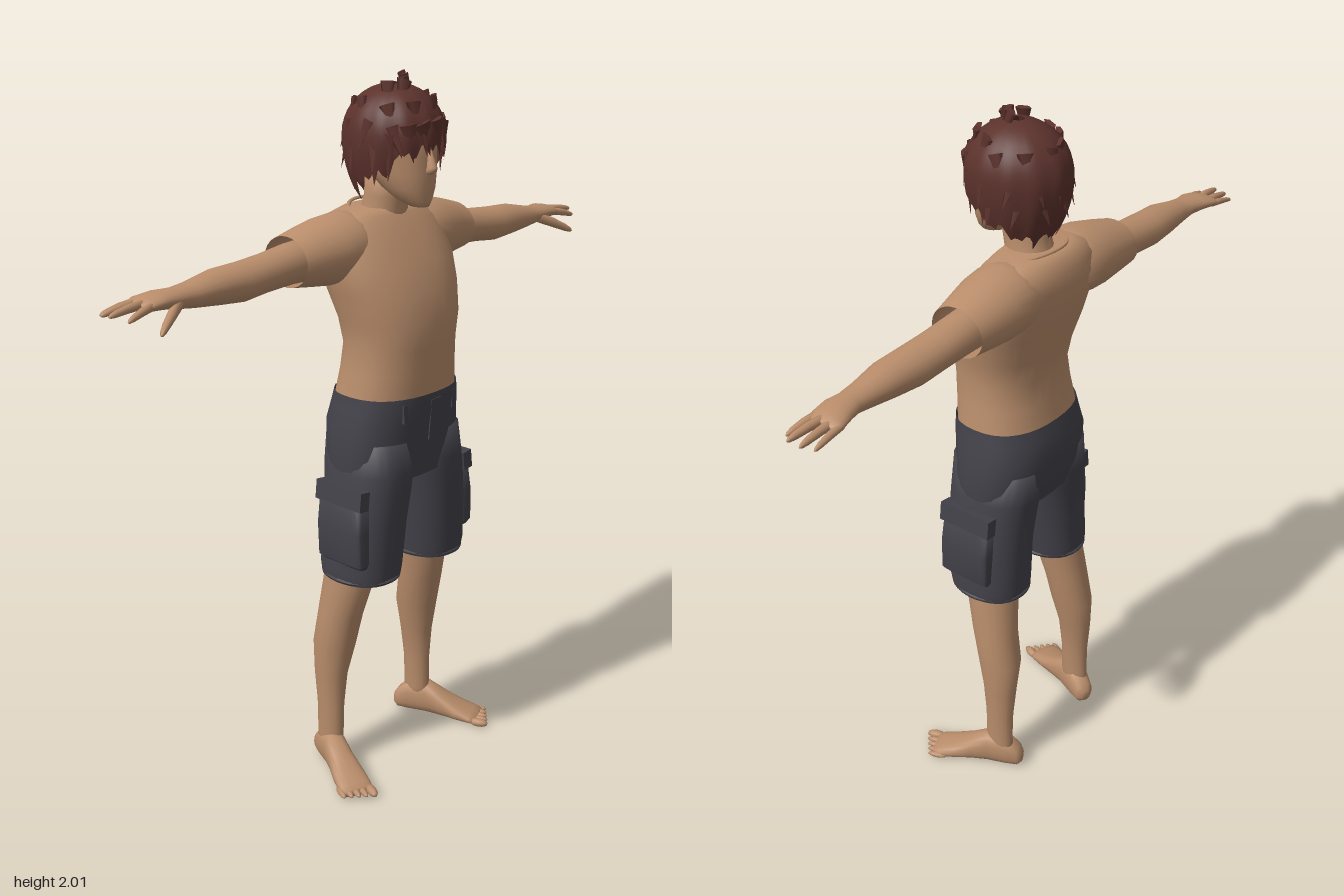
import * as THREE from 'three';

const paint = (name, color) => {
  const m = new THREE.MeshStandardMaterial({ color, side: THREE.DoubleSide });
  m.name = name;
  return m;
};

// Indexed smooth surface over closed rings; optional end caps
function skinRings(rings, capStart, capEnd) {
  const n = rings[0].length, pos = [], idx = [];
  rings.forEach(r => r.forEach(p => pos.push(p[0], p[1], p[2])));
  for (let j = 0; j < rings.length - 1; j++) for (let i = 0; i < n; i++) {
    const a = j * n + i, b = j * n + (i + 1) % n;
    idx.push(a, a + n, b, b, a + n, b + n);
  }
  const cap = (row, flip) => {
    const c = [0, 1, 2].map(k => rings[row].reduce((s, p) => s + p[k], 0) / n);
    const ci = pos.length / 3;
    pos.push(...c);
    for (let i = 0; i < n; i++) {
      const a = row * n + i, b = row * n + (i + 1) % n;
      flip ? idx.push(ci, a, b) : idx.push(ci, b, a);
    }
  };
  if (capStart) cap(0, true);
  if (capEnd) cap(rings.length - 1, false);
  const g = new THREE.BufferGeometry();
  g.setAttribute('position', new THREE.Float32BufferAttribute(pos, 3));
  g.setIndex(idx);
  g.computeVertexNormals();
  return g;
}

// Sections along an axis (0 x, 1 y, 2 z): [t, centreU, centreV, radiusU, radiusV]
// (u, v) is (z, y) for axis x, (x, z) for axis y and (y, x) for axis z
function loft(axis, sections, { n = 20, power = 2, capStart = true, capEnd = true } = {}) {
  const u = (axis + 2) % 3, v = (axis + 1) % 3;
  const round = c => Math.sign(c) * Math.abs(c) ** (2 / power);
  const rings = sections.map(([t, cu, cv, ru, rv]) => Array.from({ length: n }, (_, i) => {
    const a = i / n * Math.PI * 2, p = [0, 0, 0];
    p[axis] = t;
    p[u] = cu + ru * round(Math.cos(a));
    p[v] = cv + rv * round(Math.sin(a));
    return p;
  }));
  return skinRings(rings, capStart, capEnd);
}

function mirrored(geo) {
  const g = geo.clone().applyMatrix4(new THREE.Matrix4().makeScale(-1, 1, 1));
  const ix = g.index.array;
  for (let i = 0; i < ix.length; i += 3) [ix[i], ix[i + 1]] = [ix[i + 1], ix[i]];
  g.computeVertexNormals();
  return g;
}

export function createModel() {
  const model = new THREE.Group();
  const skin = paint('skin', 0xb98d6b), shirt = paint('shirt', 0xba8e6c);
  const cloth = paint('shorts cloth', 0x43424a), hairMat = paint('hair', 0x5c322c);
  const add = (name, geo, mat) => {
    const m = new THREE.Mesh(geo, mat);
    m.name = name;
    model.add(m);
  };
  const pair = (name, geo, mat) => {
    add(name + 'Left', geo, mat);
    add(name + 'Right', mirrored(geo), mat);
  };
  const box = (w, h, d, x, y, z, rx = 0, rz = 0) =>
    new THREE.BoxGeometry(w, h, d).rotateX(rx).rotateZ(rz).translate(x, y, z);

  // Head, neck, nose and ears
  add('head', loft(1, [
    [1.672, 0, 0.088, 0.022, 0.028], [1.688, 0, 0.07, 0.044, 0.05], [1.72, 0, 0.048, 0.068, 0.076],
    [1.76, 0, 0.025, 0.083, 0.1], [1.8, 0, 0.008, 0.09, 0.116], [1.86, 0, 0, 0.1, 0.124],
    [1.92, 0, 0, 0.09, 0.105], [1.955, 0, 0, 0.05, 0.06],
  ], { n: 24 }), skin);
  add('neck', loft(1, [
    [1.58, 0, -0.055, 0.075, 0.075], [1.645, 0, -0.04, 0.063, 0.066],
    [1.69, 0, -0.028, 0.058, 0.064], [1.76, 0, -0.02, 0.06, 0.066],
  ]), skin);
  add('nose', loft(1, [
    [1.757, 0, 0.118, 0.012, 0.01], [1.768, 0, 0.122, 0.015, 0.023],
    [1.777, 0, 0.122, 0.012, 0.025], [1.82, 0, 0.118, 0.007, 0.01],
  ], { n: 10 }), skin);
  pair('ear', new THREE.SphereGeometry(1, 12, 8).scale(0.012, 0.033, 0.02)
    .rotateZ(-0.15).translate(0.094, 1.785, -0.005), skin);

  // Hair shell: dome with a jagged lower edge, short in front and long behind
  const segs = 72, rows = 14;
  const shell = [];
  for (let j = 0; j <= rows; j++) {
    shell.push(Array.from({ length: segs }, (_, i) => {
      const a = i / segs * Math.PI * 2, front = Math.sin(a);
      const tooth = Math.abs((i % 6) / 3 - 1) * (0.03 + 0.018 * Math.sin(i * 1.7));
      const edge = (front > 0 ? 1.755 + 0.085 * front ** 1.5 : 1.755 - 0.05 * Math.min(1, -front * 1.6)) - tooth + 0.01;
      const v = 1 - j / rows;
      const y = 1.982 - (1.982 - edge) * v ** 1.6;
      const k = y > 1.85 ? Math.sqrt(Math.max(0, 1 - ((y - 1.85) / 0.133) ** 2))
        : 1 - 0.3 * ((1.85 - y) / 0.16) ** 2;
      const lump = 1 + 0.02 * Math.sin(i * Math.PI / 3) * v;
      return [0.13 * k * lump * Math.cos(a), y, (front > 0 ? 0.142 : 0.148) * k * lump * front];
    }));
  }
  add('hairShell', skinRings(shell, false, false), hairMat);

  // Loose locks, flattened and pointing down and outwards
  for (let i = 0; i < 34; i++) {
    const a = i * 2.39996, front = Math.sin(a);
    const y = 1.8 + 0.16 * ((i * 7) % 34) / 34 + (front > 0.3 ? 0.035 : 0);
    const k = Math.sqrt(Math.max(0.05, 1 - ((y - 1.85) / 0.14) ** 2));
    const lock = new THREE.ConeGeometry(0.022, 0.085, 5).scale(1, 1, 0.4).rotateX(Math.PI - 0.22)
      .rotateZ(0.35 * Math.sin(i * 2.1)).translate(0, -0.022, 0.002).rotateY(Math.PI / 2 - a);
    lock.translate(0.128 * k * Math.cos(a), y, 0.14 * k * front);
    add('hairLock', lock, hairMat);
  }
  // Fringe and side locks framing the face: [x, y, z, length, lean]
  for (const [x, y, z, len, lean] of [
    [-0.1, 1.805, 0.075, 0.12, -0.1], [-0.065, 1.84, 0.115, 0.1, 0.15], [-0.025, 1.85, 0.132, 0.09, 0.3],
    [0.02, 1.85, 0.133, 0.1, 0.2], [0.06, 1.84, 0.118, 0.1, -0.1], [0.1, 1.805, 0.075, 0.12, 0.1],
    [-0.108, 1.79, 0.03, 0.12, -0.05], [0.108, 1.79, 0.03, 0.12, 0.05],
  ]) {
    add('fringeLock', new THREE.ConeGeometry(0.026, len, 6).scale(1, 1, 0.45).rotateX(Math.PI)
      .rotateZ(lean).rotateY(Math.atan2(x, z)).translate(x, y, z), hairMat);
  }

  // Shirt: torso, short sleeves and collar
  add('shirtBody', loft(1, [
    [1.155, 0, 0.003, 0.182, 0.138], [1.23, 0, 0.013, 0.172, 0.133], [1.3, 0, 0.02, 0.166, 0.131],
    [1.37, 0, 0.016, 0.177, 0.14], [1.45, 0, -0.006, 0.198, 0.142], [1.52, 0, -0.028, 0.213, 0.134],
    [1.58, 0, -0.05, 0.21, 0.12], [1.62, 0, -0.06, 0.195, 0.104], [1.645, 0, -0.062, 0.165, 0.085],
    [1.66, 0, -0.06, 0.115, 0.07],
  ], { n: 36, power: 2.3, capStart: false }), shirt);
  pair('sleeve', loft(0, [
    [0.06, -0.062, 1.572, 0.09, 0.086], [0.15, -0.062, 1.566, 0.104, 0.092], [0.21, -0.064, 1.562, 0.1, 0.09],
    [0.27, -0.068, 1.558, 0.09, 0.08], [0.335, -0.072, 1.553, 0.08, 0.067],
  ], { n: 24, capEnd: false }), shirt);
  add('collar', new THREE.TorusGeometry(1, 0.06, 6, 32).rotateX(Math.PI / 2)
    .scale(0.098, 0.07, 0.088).rotateX(0.3).translate(0, 1.643, -0.045), shirt);

  // Arms, hands and fingers
  pair('arm', loft(0, [
    [0.2, -0.07, 1.552, 0.06, 0.058], [0.33, -0.073, 1.547, 0.056, 0.053], [0.42, -0.07, 1.539, 0.057, 0.049],
    [0.5, -0.067, 1.532, 0.057, 0.05], [0.58, -0.066, 1.534, 0.053, 0.045], [0.66, -0.066, 1.53, 0.041, 0.033],
    [0.71, -0.067, 1.53, 0.037, 0.026], [0.75, -0.072, 1.533, 0.046, 0.023], [0.79, -0.08, 1.53, 0.05, 0.018],
    [0.812, -0.082, 1.526, 0.044, 0.011],
  ]), skin);
  const finger = (name, [x0, y0, z0], [x1, y1, z1], r) => pair(name, loft(0,
    [[0, 1], [0.45, 0.95], [0.8, 0.75], [0.95, 0.5], [1, 0.2]].map(([t, k]) => [
      x0 + (x1 - x0) * t, z0 + (z1 - z0) * t, y0 + (y1 - y0) * t + 0.01 * t * (1 - t), r * k, r * k,
    ]), { n: 8 }), skin);
  finger('littleFinger', [0.785, 1.528, -0.118], [0.88, 1.512, -0.126], 0.01);
  finger('ringFinger', [0.79, 1.53, -0.096], [0.897, 1.518, -0.098], 0.0115);
  finger('middleFinger', [0.79, 1.532, -0.07], [0.9, 1.522, -0.063], 0.012);
  finger('indexFinger', [0.785, 1.53, -0.046], [0.872, 1.51, -0.03], 0.0115);
  finger('thumb', [0.71, 1.522, -0.045], [0.812, 1.474, 0.01], 0.016);

  // Shorts: hips, legs, hems, cargo pockets, fly and belt loops
  add('shortsHips', loft(1, [
    [0.925, 0, -0.005, 0.205, 0.122], [1, 0, -0.008, 0.21, 0.137], [1.08, 0, -0.009, 0.201, 0.146],
    [1.13, 0, 0, 0.19, 0.144], [1.168, 0, 0.005, 0.184, 0.139],
  ], { n: 36, power: 2.4, capStart: false, capEnd: false }), cloth);
  pair('shortsLeg', loft(1, [
    [0.63, 0.135, -0.006, 0.097, 0.115], [0.66, 0.135, -0.005, 0.102, 0.118], [0.8, 0.125, 0, 0.103, 0.122],
    [0.9, 0.111, 0, 0.105, 0.128], [0.95, 0.104, -0.003, 0.104, 0.132], [1.04, 0.1, -0.006, 0.09, 0.132],
  ], { n: 28, power: 2.3, capStart: false }), cloth);
  pair('hem', new THREE.TorusGeometry(1, 0.05, 6, 32).rotateX(Math.PI / 2)
    .scale(0.098, 0.13, 0.115).translate(0.135, 0.637, -0.006), cloth);
  pair('cargoPocket', loft(1, [
    [0.69, 0.215, 0.01, 0.015, 0.075], [0.705, 0.222, 0.01, 0.024, 0.083],
    [0.8, 0.22, 0.008, 0.028, 0.083], [0.88, 0.212, 0.006, 0.026, 0.08],
  ], { power: 5, n: 24 }), cloth);
  pair('pocketFlap', box(0.035, 0.055, 0.17, 0.22, 0.895, 0.006, 0, 0.12), cloth);
  pair('beltLoop', box(0.016, 0.05, 0.012, 0.1, 1.125, 0.127, -0.05), cloth);
  add('fly', box(0.04, 0.12, 0.008, 0.012, 1.09, 0.137, 0.08), cloth);

  // Bare legs and feet turned outwards
  pair('leg', loft(1, [
    [0.03, 0.195, -0.088, 0.028, 0.046], [0.1, 0.195, -0.08, 0.03, 0.044], [0.2, 0.193, -0.08, 0.033, 0.045],
    [0.3, 0.19, -0.08, 0.043, 0.053], [0.4, 0.181, -0.072, 0.058, 0.066], [0.5, 0.175, -0.052, 0.064, 0.067],
    [0.62, 0.158, -0.03, 0.068, 0.078], [0.76, 0.145, -0.02, 0.075, 0.082],
  ]), skin);
  const place = g => g.rotateY(0.4).translate(0.195, 0, -0.085);
  pair('foot', place(loft(2, [
    [-0.068, 0.032, 0, 0.018, 0.016], [-0.055, 0.037, 0, 0.034, 0.03], [-0.02, 0.052, 0, 0.051, 0.036],
    [0.04, 0.055, 0, 0.054, 0.036], [0.09, 0.04, 0, 0.04, 0.04], [0.14, 0.026, 0, 0.026, 0.048],
    [0.19, 0.016, 0, 0.016, 0.05], [0.21, 0.012, 0, 0.011, 0.046],
  ], { power: 2.4 })), skin);
  for (let i = 0; i < 5; i++) {
    const r = i === 0 ? 0.014 : 0.0095;
    pair('toe', place(new THREE.SphereGeometry(1, 10, 8).scale(r, r * 0.9, 0.03)
      .translate(-0.038 + i * 0.02 + (i ? 0.004 : 0), 0.0125, 0.222 - i * 0.007)), skin);
  }
  return model;
}
